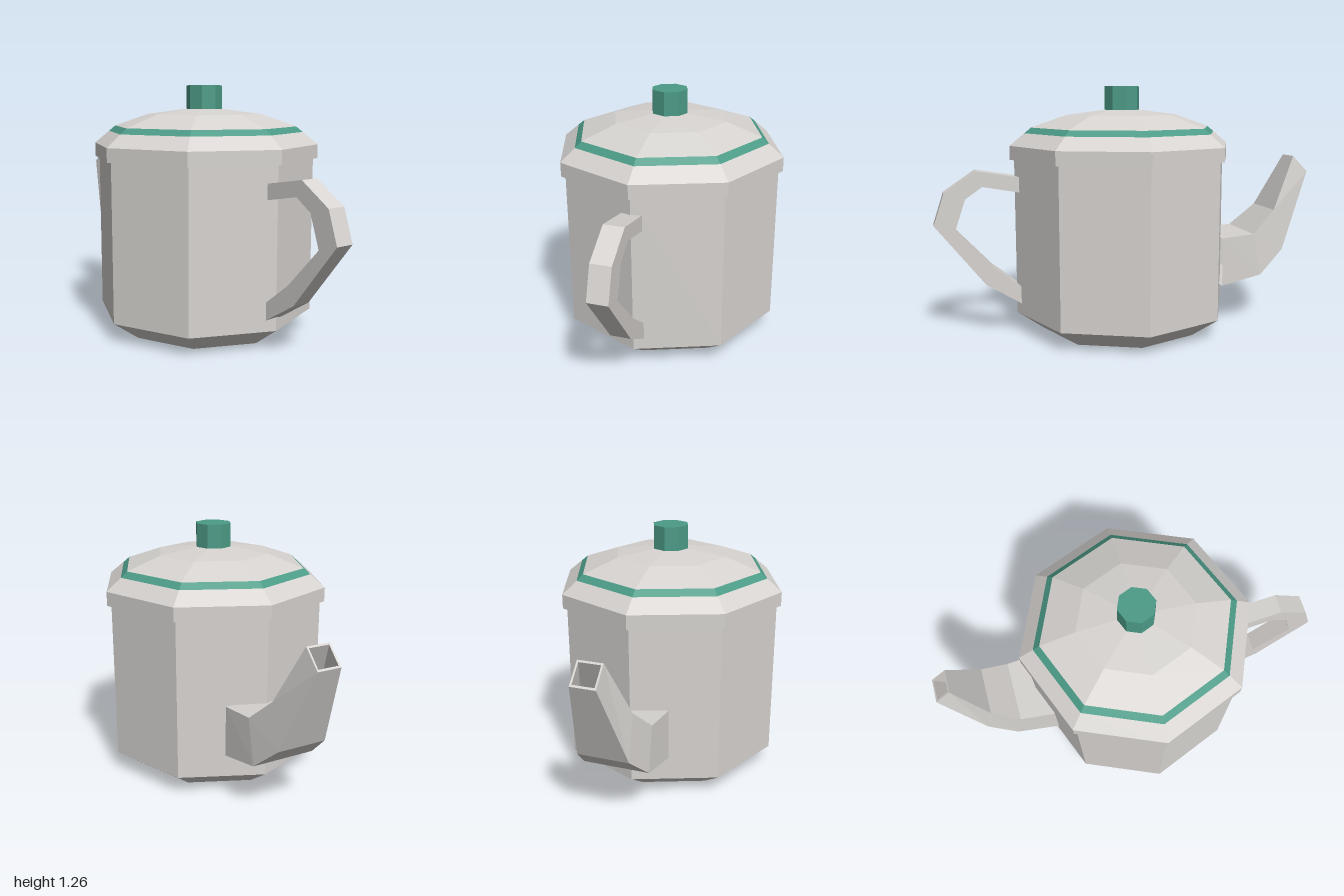
import * as THREE from 'three';

const CENTRE_X = 0.035;
const TWIST = -0.021; // slight turn of the octagonal body

const flat = (geometry) => {
  const g = geometry.index ? geometry.toNonIndexed() : geometry;
  g.computeVertexNormals();
  return g;
};

export function createModel() {
  const model = new THREE.Group();
  model.name = 'teapot';

  const enamel = new THREE.MeshStandardMaterial({ name: 'warm grey enamel', color: 0xd6d3d0, flatShading: true, side: THREE.DoubleSide });
  const green = new THREE.MeshStandardMaterial({ name: 'teal green', color: 0x4c9b87, flatShading: true });

  const add = (name, geometry, material, x = 0, z = 0) => {
    const mesh = new THREE.Mesh(flat(geometry), material);
    mesh.name = name;
    mesh.position.set(x, 0, z);
    model.add(mesh);
  };

  // Eight-sided turned parts, each profile listed as [radius, height]
  const turned = (name, profile, material) => {
    const points = profile.map(([r, y]) => new THREE.Vector2(r, y));
    add(name, new THREE.LatheGeometry(points, 8, TWIST, Math.PI * 2), material, CENTRE_X);
  };
  turned('body', [[0, 0], [0.418, 0], [0.56, 0.1], [0.56, 0.9]], enamel);
  turned('lidRim', [[0.55, 0.895], [0.582, 0.895], [0.582, 0.965], [0.506, 1.027]], enamel);
  turned('lidStripe', [[0.506, 1.027], [0.472, 1.055]], green);
  turned('lidTop', [[0.472, 1.055], [0.293, 1.117], [0.09, 1.143], [0, 1.143]], enamel);
  turned('knob', [[0.092, 1.14], [0.092, 1.262], [0, 1.262]], green);

  // Handle: a bent flat loop of even width
  const handle = new THREE.Shape([
    [0.578, 0.158], [0.754, 0.268], [1, 0.58], [0.948, 0.738], [0.79, 0.846], [0.578, 0.81],
    [0.578, 0.733], [0.76, 0.767], [0.845, 0.708], [0.898, 0.55], [0.718, 0.357], [0.578, 0.246],
  ].map(([x, y]) => new THREE.Vector2(x, y)));
  add('handle', new THREE.ExtrudeGeometry(handle, { depth: 0.1, bevelEnabled: false }), enamel, 0, -0.037);

  // Spout: rectangular sections [top x, top y, bottom x, bottom y, half width],
  // rising to the lip and then folding back down the inside
  const sections = [
    [-0.46, 0.475, -0.46, 0.22, 0.18],
    [-0.642, 0.485, -0.687, 0.262, 0.163],
    [-0.775, 0.605, -0.83, 0.387, 0.125],
    [-0.915, 0.888, -1, 0.803, 0.06],
    [-0.922, 0.881, -0.992, 0.81, 0.051],
    [-0.785, 0.595, -0.82, 0.4, 0.11],
  ];
  const loops = sections.map(([tx, ty, bx, by, w]) => [[tx, ty, w], [tx, ty, -w], [bx, by, -w], [bx, by, w]]);
  const corners = [];
  for (let i = 0; i < loops.length - 1; i++) {
    for (let j = 0; j < 4; j++) {
      const k = (j + 1) % 4;
      const [a, b, c, d] = [loops[i][j], loops[i][k], loops[i + 1][k], loops[i + 1][j]];
      corners.push(...a, ...b, ...c, ...a, ...c, ...d);
    }
  }
  const spout = new THREE.BufferGeometry();
  spout.setAttribute('position', new THREE.Float32BufferAttribute(corners, 3));
  add('spout', spout, enamel, 0, -0.02);

  return model;
}
